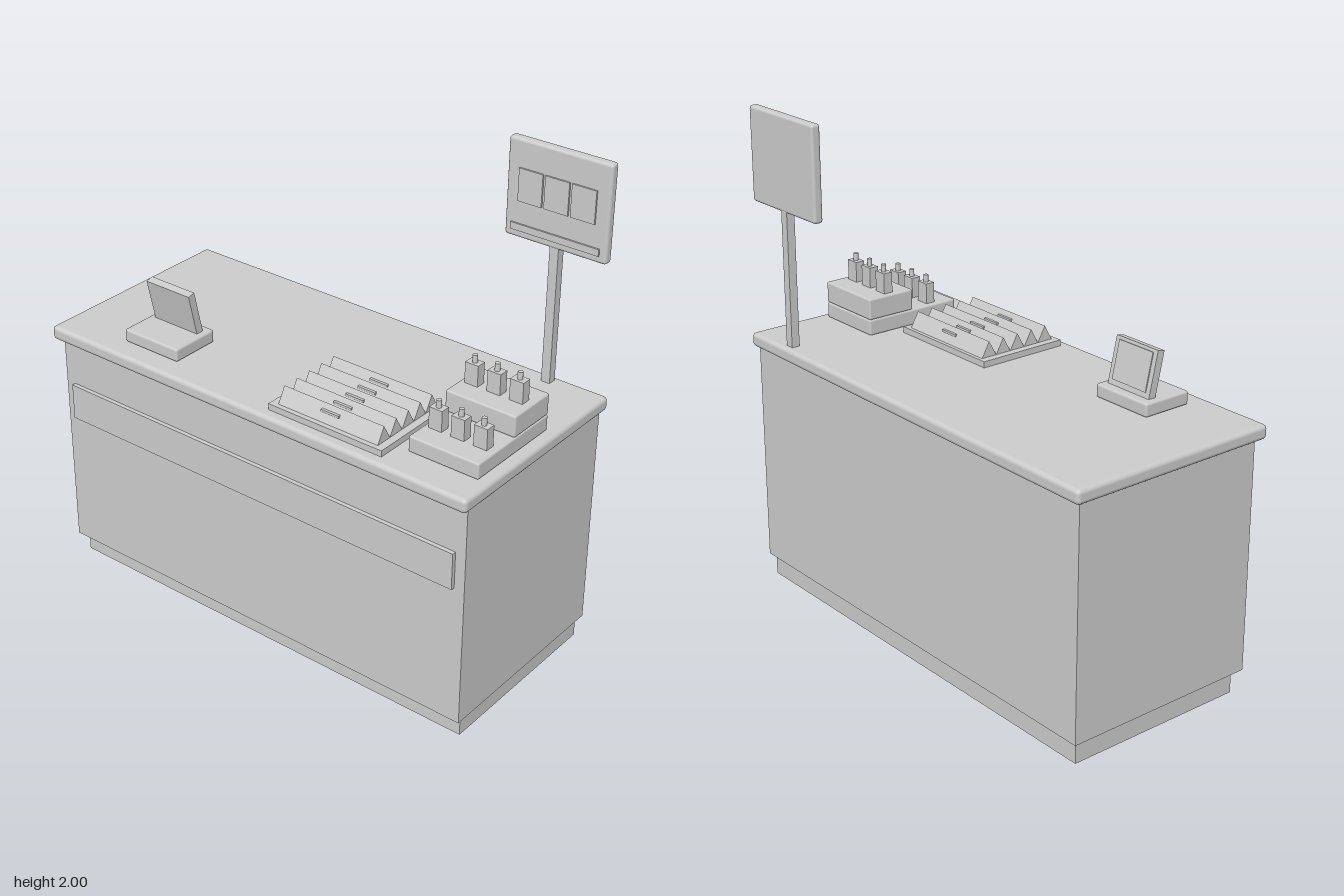
import * as THREE from 'three';
import { RoundedBoxGeometry } from 'three/addons/geometries/RoundedBoxGeometry.js';

const material = new THREE.MeshStandardMaterial({ color: 0xcccccc });

function add(parent, name, geometry, x = 0, y = 0, z = 0) {
  const mesh = new THREE.Mesh(geometry, material);
  mesh.name = name;
  mesh.position.set(x, y, z);
  parent.add(mesh);
  return mesh;
}

// Box given by its extents; a radius softens the edges
function block(parent, name, [x0, x1], [y0, y1], [z0, z1], radius = 0) {
  const size = [x1 - x0, y1 - y0, z1 - z0];
  const geometry = radius
    ? new RoundedBoxGeometry(...size, 2, radius)
    : new THREE.BoxGeometry(...size);
  return add(parent, name, geometry, (x0 + x1) / 2, (y0 + y1) / 2, (z0 + z1) / 2);
}

function subgroup(parent, name, x = 0, y = 0, z = 0) {
  const group = new THREE.Group();
  group.name = name;
  group.position.set(x, y, z);
  parent.add(group);
  return group;
}

const TOP = 1.075; // work surface height

function addCounter(root) {
  const counter = subgroup(root, 'counter');
  block(counter, 'plinth', [-0.945, 0.945], [0, 0.09], [-0.405, 0.365]);
  block(counter, 'cabinet', [-0.965, 0.965], [0.09, 1.03], [-0.425, 0.405]);
  block(counter, 'frontPanel', [-0.922, 0.922], [0.67, 0.82], [0.4, 0.422]);
  block(counter, 'countertop', [-0.985, 0.985], [1.017, TOP], [-0.45, 0.45], 0.018);
}

// Screen leaning forward over its base, display towards the staff side
function addTerminal(root) {
  const terminal = subgroup(root, 'terminal');
  block(terminal, 'terminalBase', [-0.673, -0.405], [TOP, 1.13], [0.15, 0.36], 0.01);
  const screen = subgroup(terminal, 'screen', -0.538, 1.215, 0.221);
  screen.rotation.x = 0.22;
  add(screen, 'screenBody', new THREE.BoxGeometry(0.216, 0.185, 0.032));
  add(screen, 'screenDisplay', new THREE.BoxGeometry(0.176, 0.15, 0.008), 0, 0.005, -0.016);
}

// Row of tent-shaped holders, each with a tag through its ridge
function addDisplayRack(root) {
  const rack = subgroup(root, 'displayRack', 0.34);
  block(rack, 'rackBase', [-0.256, 0.256], [TOP, 1.1], [0.02, 0.405]);
  const profile = new THREE.Shape();
  profile.moveTo(-0.035, 0);
  profile.lineTo(0.035, 0);
  profile.lineTo(0, 0.062);
  profile.closePath();
  const tent = new THREE.ExtrudeGeometry(profile, { depth: 0.45, bevelEnabled: false });
  tent.translate(0, 0, -0.225).rotateY(Math.PI / 2);
  for (let i = 0; i < 5; i++) {
    const z = 0.07 + i * 0.07;
    add(rack, 'tentHolder', tent, 0, 1.1, z);
    add(rack, 'holderTag', new THREE.BoxGeometry(0.08, 0.01, 0.044), 0, 1.137, z);
  }
}

// Stepped riser with two rows of bottles
function addBottleStand(root) {
  const stand = subgroup(root, 'bottleStand');
  block(stand, 'lowerStep', [0.645, 0.942], [TOP, 1.14], [-0.108, 0.318], 0.008);
  block(stand, 'upperStep', [0.645, 0.942], [1.14, 1.227], [-0.108, 0.104], 0.008);
  for (const [y, z] of [[1.138, 0.21], [1.225, 0]]) {
    for (const x of [0.695, 0.79, 0.885]) {
      const bottle = subgroup(stand, 'bottle', x, y, z);
      add(bottle, 'bottleBody', new THREE.BoxGeometry(0.056, 0.086, 0.04), 0, 0.043, 0);
      add(bottle, 'bottleNeck', new THREE.CylinderGeometry(0.01, 0.01, 0.03, 16), 0, 0.101, 0);
    }
  }
}

// Board on a pole with three cards and a strip on its face
function addSign(root) {
  const sign = subgroup(root, 'sign');
  block(sign, 'signPole', [0.73, 0.767], [1.06, 1.64], [-0.424, -0.389]);
  block(sign, 'signBoard', [0.537, 0.963], [1.62, 2], [-0.426, -0.386], 0.012);
  for (const x of [0.64, 0.75, 0.86]) {
    block(sign, 'signCard', [x - 0.05, x + 0.05], [1.765, 1.892], [-0.39, -0.379]);
  }
  block(sign, 'signStrip', [0.565, 0.935], [1.65, 1.677], [-0.39, -0.379]);
}

export function createModel() {
  const root = new THREE.Group();
  root.name = 'serviceCounter';
  addCounter(root);
  addTerminal(root);
  addDisplayRack(root);
  addBottleStand(root);
  addSign(root);
  return root;
}
